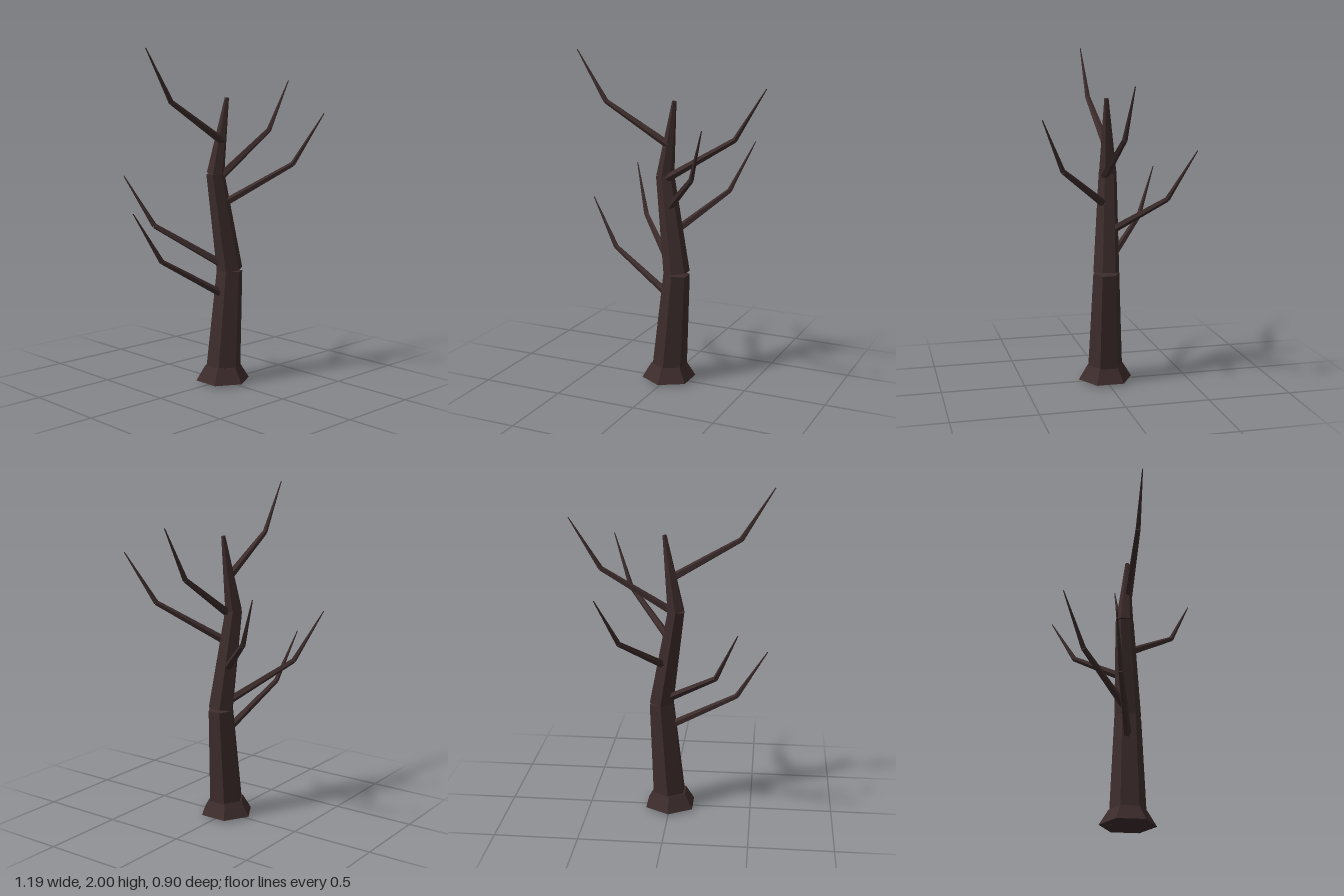
import * as THREE from 'three';

const bark = new THREE.MeshStandardMaterial({ color: 0x3d2c2c, flatShading: true });
bark.name = 'dark bark';

// Tapered prism running from one point to another
function limb(name, from, to, rFrom, rTo, sides) {
  const a = new THREE.Vector3(...from);
  const b = new THREE.Vector3(...to);
  const dir = b.clone().sub(a);
  const mesh = new THREE.Mesh(new THREE.CylinderGeometry(rTo, rFrom, dir.length(), sides), bark);
  mesh.name = name;
  mesh.position.copy(a).add(b).multiplyScalar(0.5);
  mesh.quaternion.setFromUnitVectors(new THREE.Vector3(0, 1, 0), dir.normalize());
  return mesh;
}

export function createModel() {
  const tree = new THREE.Group();
  tree.name = 'bareTree';

  // Root flare and three leaning trunk sections
  tree.add(
    limb('rootFlare', [0, 0.01, 0], [0, 0.1, 0], 0.165, 0.11, 6),
    limb('lowerTrunk', [0, 0.005, 0], [0.053, 0.68, 0.005], 0.11, 0.08, 6),
    limb('middleTrunk', [0.053, 0.685, 0.005], [-0.037, 1.275, -0.025], 0.08, 0.055, 6),
    limb('upperTrunk', [-0.035, 1.27, -0.025], [0.034, 1.72, 0], 0.054, 0.013, 6),
  );

  // Each branch: root inside the trunk, elbow, tip
  const branches = [
    [[0.01, 0.53, 0], [-0.405, 0.775, -0.09], [-0.58, 1.07, -0.132]],
    [[0.02, 0.71, 0], [-0.29, 0.955, -0.29], [-0.415, 1.255, -0.42]],
    [[0.015, 0.92, -0.01], [0.268, 1.15, -0.305], [0.38, 1.44, -0.447]],
    [[-0.005, 1.08, -0.01], [0.278, 1.33, 0.31], [0.395, 1.63, 0.447]],
    [[-0.01, 1.26, 0], [0.41, 1.515, -0.012], [0.592, 1.815, -0.02]],
    [[0, 1.46, 0], [-0.41, 1.7, 0.01], [-0.597, 2, 0.015]],
  ];
  branches.forEach(([root, elbow, tip], i) => {
    const branch = new THREE.Group();
    branch.name = `branch${i + 1}`;
    branch.add(
      limb('innerBranch', root, elbow, 0.025, 0.016, 5),
      limb('twig', elbow, tip, 0.016, 0.003, 5),
    );
    tree.add(branch);
  });

  return tree;
}
